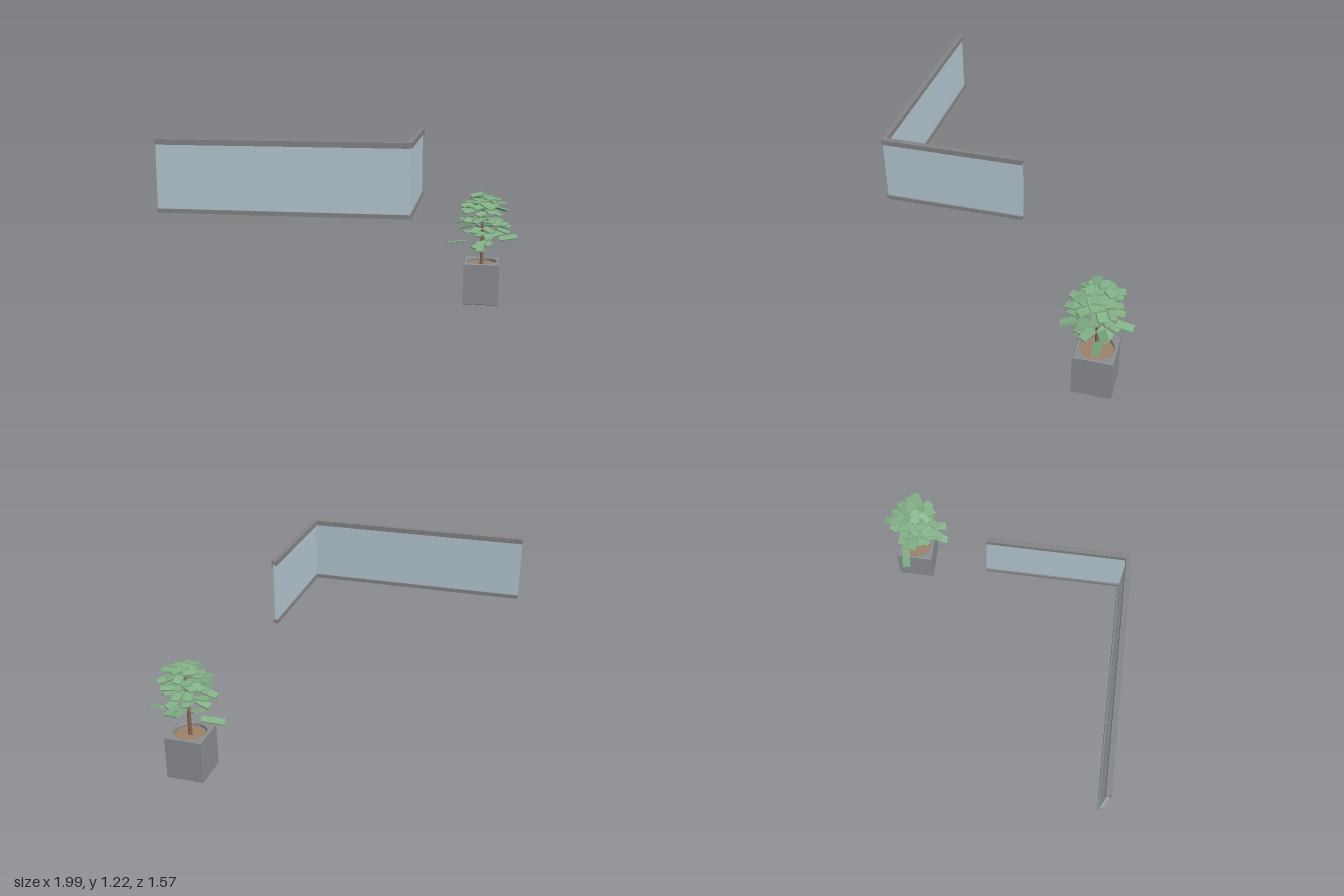
import * as THREE from 'three';

const mat = (name, color) => {
  const m = new THREE.MeshStandardMaterial({ color });
  m.name = name;
  return m;
};

export function createModel() {
  const model = new THREE.Group();
  const glass = mat('pale blue glass', 0xb4c6cf);
  const metal = mat('grey metal', 0x838387);
  const stone = mat('grey planter', 0x8a8c90);
  const soilMat = mat('soil', 0x9c8168);
  const bark = mat('bark', 0x86695a);
  const green = mat('leaf green', 0x82b086);

  const add = (parent, name, geometry, material, x, y, z) => {
    const mesh = new THREE.Mesh(geometry, material);
    mesh.name = name;
    mesh.position.set(x, y, z);
    parent.add(mesh);
    return mesh;
  };

  // Glass balustrade: two panels meeting at a corner, each with two rails
  const balustrade = new THREE.Group();
  balustrade.name = 'balustrade';
  model.add(balustrade);
  const section = (label, length, x, z, turn) => {
    const g = new THREE.Group();
    g.name = label;
    g.position.set(x, 0, z);
    g.rotation.y = turn;
    balustrade.add(g);
    add(g, 'glassPanel', new THREE.BoxGeometry(length, 0.37, 0.014), glass, 0, 1.01, 0);
    add(g, 'topRail', new THREE.BoxGeometry(length, 0.03, 0.032), metal, 0, 1.2, 0);
    add(g, 'bottomRail', new THREE.BoxGeometry(length, 0.023, 0.032), metal, 0, 0.821, 0);
  };
  section('frontSection', 1.385, -0.3075, 0.764, 0);
  section('sideSection', 0.822, 0.383, 0.356, Math.PI / 2);

  // Potted tree
  const tree = new THREE.Group();
  tree.name = 'pottedTree';
  tree.position.set(0.757, 0, -0.585);
  model.add(tree);

  // Square planter with a round recess for the soil
  const h = 0.114;
  const square = new THREE.Shape([[-h, -h], [h, -h], [h, h], [-h, h]].map(p => new THREE.Vector2(...p)));
  square.holes.push(new THREE.Path().absarc(0, 0, 0.103, 0, Math.PI * 2, true));
  const pot = new THREE.ExtrudeGeometry(square, {
    depth: 0.272, bevelThickness: 0.004, bevelSize: 0.004, bevelSegments: 1, curveSegments: 16,
  });
  pot.rotateX(-Math.PI / 2);
  add(tree, 'planter', pot, stone, 0, 0.004, 0);
  add(tree, 'planterBase', new THREE.BoxGeometry(2 * h, 0.01, 2 * h), stone, 0, 0.0055, 0);
  add(tree, 'soil', new THREE.CylinderGeometry(0.102, 0.102, 0.02, 32), soilMat, 0, 0.247, 0);
  add(tree, 'trunk', new THREE.CylinderGeometry(0.01, 0.013, 0.4, 10), bark, 0, 0.445, 0);

  // Foliage: tilted thin plates
  const foliage = new THREE.Group();
  foliage.name = 'foliage';
  tree.add(foliage);
  const leafGeo = new THREE.BoxGeometry(1, 0.008, 1);
  const leaf = (x, y, z, yaw, droop, roll, length, width) => {
    const m = add(foliage, 'leaf', leafGeo, green, x, y, z);
    m.rotation.set(roll, yaw, -droop, 'YZX');
    m.scale.set(length, 1, width);
  };

  // Low outer leaves: x, y, z, yaw, droop, roll, length
  [
    [-0.172, 0.4, -0.035, 3.3, 0.1, 0.25, 0.145],
    [0.172, 0.437, -0.03, 0.1, -0.15, 0.4, 0.12],
    [-0.01, 0.41, 0.16, -1.6, 0.4, 0.1, 0.12],
    [0.035, 0.42, 0.085, -1.1, 0.2, 0.3, 0.09],
    [-0.03, 0.39, 0.06, -2.2, 0.15, -0.2, 0.09],
    [0.095, 0.455, -0.05, 0.4, -0.2, 0.4, 0.12],
    [0.035, 0.425, -0.05, 1.2, 0.2, 0.2, 0.09],
    [0.03, 0.5, -0.155, 1.5, 0.15, 0.2, 0.1],
    [0.04, 0.475, 0.16, -1.3, 0.2, 0.1, 0.09],
    [-0.04, 0.515, 0.15, -1.9, 0.2, -0.1, 0.1],
    [0.14, 0.535, 0.06, -0.5, 0.1, 0.2, 0.09],
    [-0.14, 0.55, 0.02, 3.0, 0.25, 0.2, 0.09],
  ].forEach(p => leaf(...p, 0.05));

  // Upper crown in tiers: height, inner radius, outer radius, count
  let seed = 7;
  const rnd = (a, b) => {
    seed = (seed * 16807) % 2147483647;
    return a + (b - a) * seed / 2147483647;
  };
  [[0.5, 0.05, 0.15, 7], [0.56, 0.07, 0.14, 10], [0.62, 0.07, 0.125, 10],
    [0.67, 0.06, 0.11, 11], [0.705, 0.04, 0.085, 8], [0.722, 0.015, 0.05, 4],
  ].forEach(([y, r0, r1, n], tier) => {
    for (let i = 0; i < n; i++) {
      const a = (i + rnd(-0.25, 0.25)) / n * Math.PI * 2 + tier * 0.7;
      const r = rnd(r0, r1);
      leaf(Math.cos(a) * r, y + rnd(-0.015, 0.015), -Math.sin(a) * r,
        a + rnd(-0.6, 0.6), rnd(-0.1, 0.3), rnd(-0.3, 0.3), rnd(0.08, 0.11), rnd(0.042, 0.055));
    }
  });
  return model;
}
